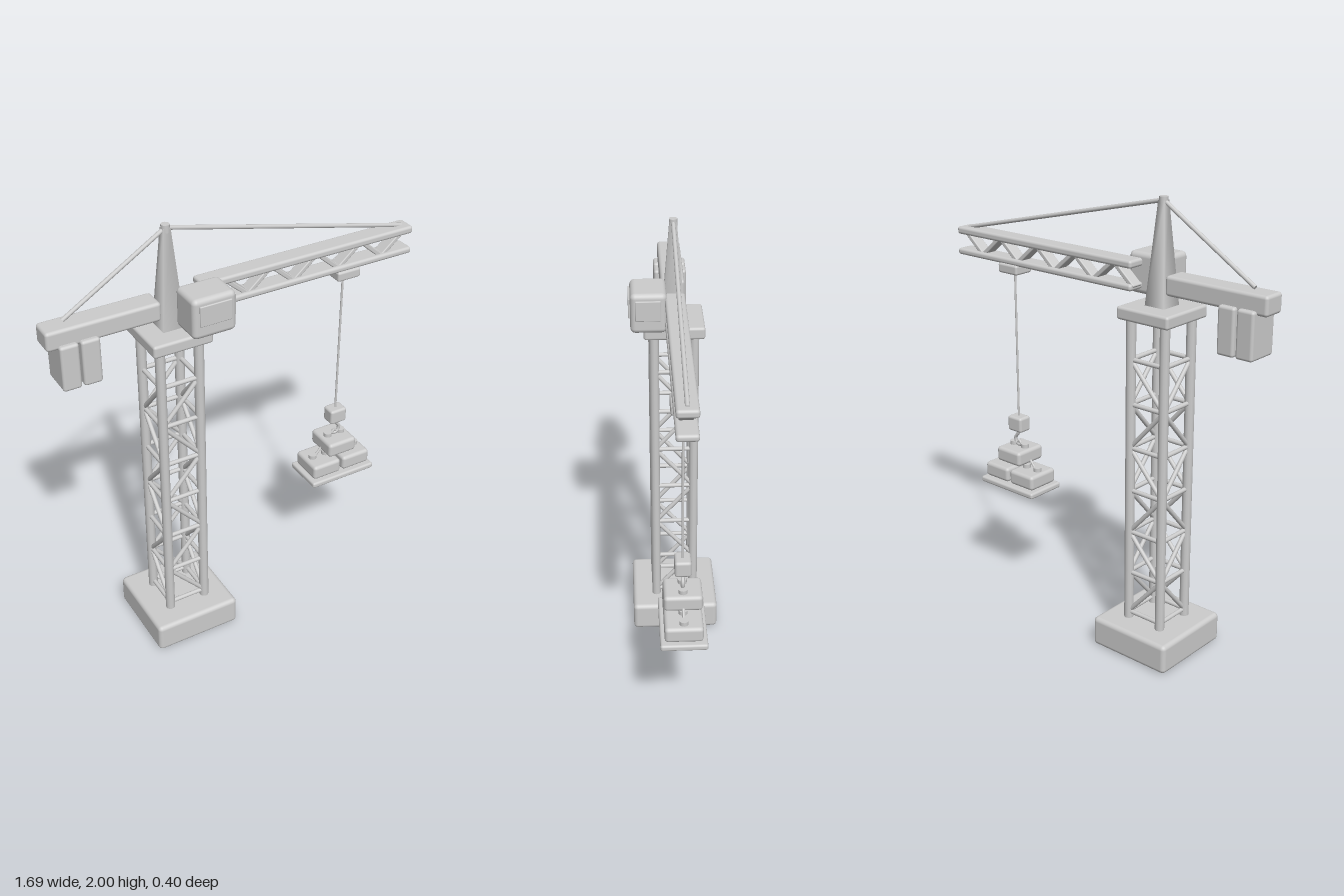
import * as THREE from 'three';
import { RoundedBoxGeometry } from 'three/addons/geometries/RoundedBoxGeometry.js';

export function createModel() {
  const crane = new THREE.Group();
  crane.name = 'towerCrane';
  const grey = new THREE.MeshStandardMaterial({ color: 0xcccccc });
  grey.name = 'lightGrey';

  const add = (name, geometry, x = 0, y = 0, z = 0) => {
    const mesh = new THREE.Mesh(geometry, grey);
    mesh.name = name;
    mesh.position.set(x, y, z);
    crane.add(mesh);
    return mesh;
  };
  // Softened box given by its limits on each axis
  const box = (name, [x0, x1], [y0, y1], [z0, z1], r = 0.012) =>
    add(name, new RoundedBoxGeometry(x1 - x0, y1 - y0, z1 - z0, 3, r),
      (x0 + x1) / 2, (y0 + y1) / 2, (z0 + z1) / 2);
  // Round bar between two points
  const bar = (name, from, to, r) => {
    const a = new THREE.Vector3(...from), b = new THREE.Vector3(...to);
    const d = b.clone().sub(a);
    const mesh = add(name, new THREE.CylinderGeometry(r, r, d.length(), 12));
    mesh.position.copy(a).add(b).multiplyScalar(0.5);
    mesh.quaternion.setFromUnitVectors(new THREE.Vector3(0, 1, 0), d.normalize());
    return mesh;
  };

  // Base, columns and platform
  const cx = -0.312, off = 0.087;
  box('base', [cx - 0.2, cx + 0.2], [0, 0.135], [-0.2, 0.2], 0.02);
  for (const sx of [-1, 1]) for (const sz of [-1, 1])
    bar('column', [cx + sx * off, 0.12, sz * off], [cx + sx * off, 1.52, sz * off], 0.021);
  box('platform', [cx - 0.132, cx + 0.132], [1.505, 1.56], [-0.132, 0.132], 0.012);

  // Lattice on all four tower sides, diagonals alternating by level
  const step = 0.195;
  for (let i = 0; i <= 6; i++) {
    const y = 0.163 + i * step, t = i % 2 ? 1 : -1;
    for (const s of [-off, off]) {
      bar('crossbar', [cx - off, y, s], [cx + off, y, s], 0.01);
      bar('crossbar', [cx + s, y, -off], [cx + s, y, off], 0.01);
      if (i === 6) continue;
      bar('diagonalBrace', [cx - t * off, y, s], [cx + t * off, y + step, s], 0.01);
      bar('diagonalBrace', [cx + s, y, -t * off], [cx + s, y + step, t * off], 0.01);
    }
  }

  // Tapered four-sided mast head with cap
  const mast = add('mastHead', new THREE.CylinderGeometry(0.022, 0.07, 0.43, 4), cx, 1.77, 0);
  mast.rotation.y = Math.PI / 4;
  add('mastCap', new THREE.CylinderGeometry(0.018, 0.018, 0.032, 16), cx, 1.984, 0);

  // Counter jib and weights
  box('counterJib', [-0.848, -0.365], [1.617, 1.7], [-0.052, 0.052], 0.014);
  for (const x of [-0.803, -0.715])
    box('counterweight', [x, x + 0.079], [1.437, 1.636], [-0.073, 0.073], 0.012);

  // Operator cab with front and side windows
  box('cab', [-0.298, -0.105], [1.572, 1.748], [0.035, 0.188], 0.022);
  box('frontWindow', [-0.272, -0.13], [1.632, 1.722], [0.187, 0.196], 0.004);
  box('sideWindow', [-0.106, -0.097], [1.632, 1.722], [0.06, 0.167], 0.004);

  // Jib chords and zigzag webbing
  box('upperChord', [-0.18, 0.845], [1.692, 1.726], [-0.043, 0.043], 0.012);
  box('lowerChord', [-0.18, 0.845], [1.598, 1.627], [-0.043, 0.043], 0.012);
  for (let i = 0; i < 9; i++) {
    const up = i % 2 ? -1 : 1, w = 0.11, h = 0.095;
    const web = add('jibWeb', new RoundedBoxGeometry(Math.hypot(w, h), 0.02, 0.055, 2, 0.005),
      -0.18 + (i + 0.5) * w, 1.66, 0);
    web.rotation.z = up * Math.atan2(h, w);
  }

  // Tie rods
  bar('rearTie', [cx, 1.985, 0], [-0.757, 1.71, 0], 0.009);
  bar('frontTie', [cx, 1.985, 0], [0.81, 1.722, 0], 0.009);

  // Trolley, hoist cable, hook block and hook
  const hx = 0.522;
  box('trolley', [hx - 0.057, hx + 0.057], [1.558, 1.602], [-0.05, 0.05], 0.01);
  bar('hoistCable', [hx, 0.86, 0], [hx, 1.57, 0], 0.005);
  box('hookBlock', [hx - 0.042, hx + 0.042], [0.803, 0.875], [-0.034, 0.034], 0.012);
  const hook = new THREE.CatmullRomCurve3(
    [[0, 0.81], [0.008, 0.785], [0.024, 0.762], [0.018, 0.738], [-0.004, 0.73], [-0.022, 0.742]]
      .map(([x, y]) => new THREE.Vector3(hx + x, y, 0)));
  add('hook', new THREE.TubeGeometry(hook, 24, 0.008, 8));

  // Load: pallet, stacked blocks with studs, slings
  box('pallet', [hx - 0.167, hx + 0.167], [0.525, 0.553], [-0.098, 0.098], 0.01);
  const block = (x, y) => {
    box('loadBlock', [x - 0.073, x + 0.073], [y, y + 0.07], [-0.08, 0.08], 0.016);
    for (const s of [-0.035, 0.035])
      add('blockStud', new THREE.CylinderGeometry(0.019, 0.019, 0.022, 16), x + s, y + 0.077, 0);
  };
  block(hx - 0.079, 0.556);
  block(hx + 0.079, 0.556);
  block(hx, 0.655);
  for (const s of [-1, 1])
    bar('sling', [hx, 0.75, 0], [hx + s * 0.11, 0.62, 0], 0.006);

  return crane;
}
